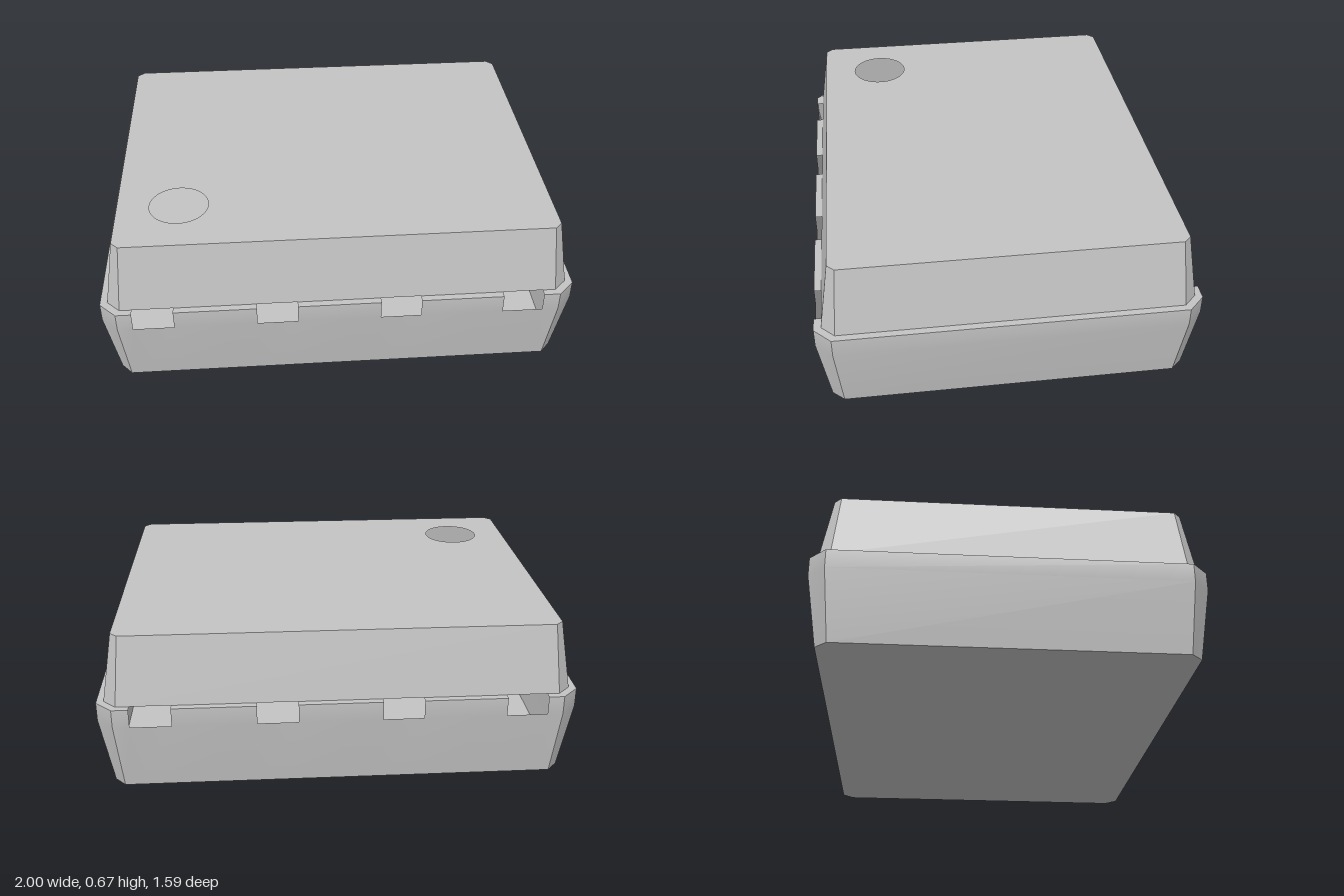
import * as THREE from 'three';

// Notch edges along x, shared by the front and back walls
const NOTCH_HALF = 0.085;
const notchEdges = [-0.78, -0.263, 0.257, 0.776].flatMap(x => [x - NOTCH_HALF, x + NOTCH_HALF]);

// Eight corners of a rectangle with cut corners: half sizes x, z; straight parts end at cx, cz
function ring({ x, z, cx, cz, y }) {
  return [[-cx, z], [cx, z], [x, cz], [x, -cz], [cx, -z], [-cx, -z], [-x, -cz], [-x, cz]]
    .map(([px, pz]) => new THREE.Vector3(px, y, pz));
}

// Walls through stacked rings; each wall is smooth vertically and creased at the corners.
// Cells of the rows listed in notchedRows are left open at the notches.
function walls(sections, notchedRows = null) {
  const rings = sections.map(ring), pos = [], idx = [];
  for (let side = 0; side < 8; side++) {
    const notched = notchedRows && side % 4 === 0;
    const inner = notched ? (side === 0 ? notchEdges : [...notchEdges].reverse()) : [];
    const cols = inner.length + 2, base = pos.length / 3;
    for (const r of rings) {
      const a = r[side], b = r[(side + 1) % 8];
      const row = [a, ...inner.map(x => new THREE.Vector3(x, a.y, a.z)), b];
      row.forEach(p => pos.push(p.x, p.y, p.z));
    }
    for (let j = 0; j < rings.length - 1; j++) {
      for (let i = 0; i < cols - 1; i++) {
        if (notched && notchedRows.includes(j) && i % 2 === 1) continue;
        const a = base + j * cols + i, d = a + cols;
        idx.push(a, a + 1, d + 1, a, d + 1, d);
      }
    }
  }
  const g = new THREE.BufferGeometry();
  g.setAttribute('position', new THREE.Float32BufferAttribute(pos, 3));
  g.setIndex(idx);
  g.computeVertexNormals();
  return g;
}

// Flat panel closing a ring, with an optional round hole
function panel(section, up, hole = null) {
  const shape = new THREE.Shape(ring(section).map(p => new THREE.Vector2(p.x, -p.z)));
  if (hole) {
    const path = new THREE.Path();
    path.absarc(hole.x, -hole.z, hole.r, 0, Math.PI * 2, true);
    shape.holes.push(path);
  }
  const g = new THREE.ShapeGeometry(shape, 32);
  g.rotateX(up ? -Math.PI / 2 : Math.PI / 2);
  g.translate(0, section.y, 0);
  return g;
}

export function createModel() {
  const group = new THREE.Group();
  group.name = 'ventedEnclosure';
  const plastic = new THREE.MeshStandardMaterial({ color: 0xc4c4c4, side: THREE.DoubleSide });
  plastic.name = 'light grey plastic';
  const add = (name, geometry) => {
    const mesh = new THREE.Mesh(geometry, plastic);
    mesh.name = name;
    group.add(mesh);
  };

  const foot = { x: 0.952, z: 0.752, cx: 0.907, cz: 0.703, y: 0 };
  const bend = { x: 1, z: 0.797, cx: 0.93, cz: 0.727, y: 0.3 };
  const rim = { ...bend, y: 0.38 };
  const lidBase = { x: 0.97, z: 0.767, cx: 0.916, cz: 0.713, y: 0.38 };
  const lidTop = { x: 0.922, z: 0.72, cx: 0.892, cz: 0.69, y: 0.674 };

  // Lower tray: tapered walls with a notched upright band
  add('trayFloor', panel(foot, false));
  add('trayWalls', walls([foot, bend, rim], [1]));
  // Narrow ledge between tray and lid, cut by the notches
  add('ledge', walls([rim, lidBase], [0]));
  // Lid: tapered walls and a top with a round opening
  add('lidWalls', walls([lidBase, lidTop]));
  add('lidTop', panel(lidTop, true, { x: -0.66, z: 0.45, r: 0.125 }));
  return group;
}
